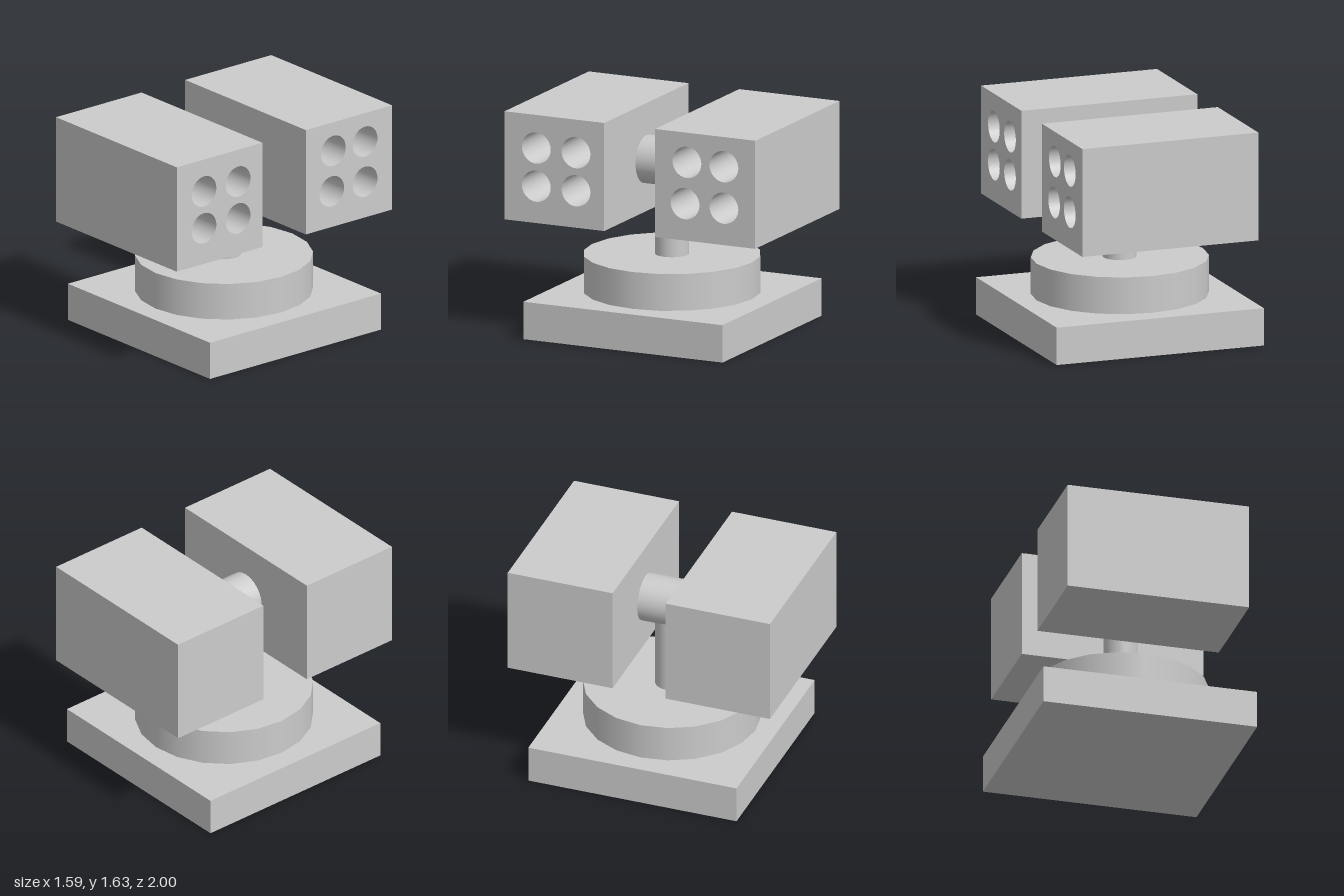
import * as THREE from 'three';

const grey = new THREE.MeshStandardMaterial({ color: 0xcccccc });
const greyInside = new THREE.MeshStandardMaterial({ color: 0xcccccc, side: THREE.BackSide });

function addMesh(parent, name, geometry, x = 0, y = 0, z = 0, material = grey) {
  const mesh = new THREE.Mesh(geometry, material);
  mesh.name = name;
  mesh.position.set(x, y, z);
  parent.add(mesh);
  return mesh;
}

// Block with four blind bores in its +x end; bores are [z, y] in model space
function createPod(name, zMin, zMax, bores) {
  const yMin = 0.832, yMax = 1.626, xMin = -0.675, xMax = 0.672;
  const radius = 0.115, depth = 0.6;

  // Local +z points along model +x, local x is model -z
  const pod = new THREE.Group();
  pod.name = name;
  pod.rotation.y = Math.PI / 2;

  // Housing without the bored end face
  const shell = new THREE.BoxGeometry(zMax - zMin, yMax - yMin, xMax - xMin);
  const index = Array.from(shell.index.array);
  index.splice(24, 6);
  shell.setIndex(index);
  shell.clearGroups();
  addMesh(pod, 'housing', shell, -(zMin + zMax) / 2, (yMin + yMax) / 2, (xMin + xMax) / 2);

  // End face with round openings
  const face = new THREE.Shape([
    new THREE.Vector2(-zMax, yMin), new THREE.Vector2(-zMin, yMin),
    new THREE.Vector2(-zMin, yMax), new THREE.Vector2(-zMax, yMax),
  ]);
  for (const [z, y] of bores) {
    face.holes.push(new THREE.Path().absarc(-z, y, radius, 0, Math.PI * 2, true));
  }
  addMesh(pod, 'boredFace', new THREE.ShapeGeometry(face, 16), 0, 0, xMax);

  // Bore walls and floors
  for (const [z, y] of bores) {
    const wall = new THREE.CylinderGeometry(radius, radius, depth, 32, 1, true).rotateX(Math.PI / 2);
    addMesh(pod, 'boreWall', wall, -z, y, xMax - depth / 2, greyInside);
    addMesh(pod, 'boreFloor', new THREE.CircleGeometry(radius, 32), -z, y, xMax - depth);
  }
  return pod;
}

export function createModel() {
  const model = new THREE.Group();
  model.name = 'twinPodTurret';

  // Base slab and turntable
  addMesh(model, 'base', new THREE.BoxGeometry(1.586, 0.275, 1.588), -0.002, 0.1375, -0.004);
  addMesh(model, 'turntable', new THREE.CylinderGeometry(0.637, 0.637, 0.27, 20), -0.002, 0.41, 0);

  // Upright post running into the cross tube
  addMesh(model, 'post', new THREE.CylinderGeometry(0.122, 0.122, 0.6, 40), 0, 0.845, 0);
  const tube = new THREE.CylinderGeometry(0.174, 0.174, 0.405, 40, 1, true).rotateX(Math.PI / 2);
  addMesh(model, 'crossTube', tube, -0.002, 1.217, 0.002);

  // Front and rear pods
  model.add(createPod('frontPod', 0.205, 1,
    [[0.747, 1.383], [0.43, 1.383], [0.747, 1.103], [0.43, 1.103]]));
  model.add(createPod('rearPod', -1, -0.2,
    [[-0.455, 1.408], [-0.75, 1.408], [-0.44, 1.103], [-0.75, 1.103]]));

  return model;
}
